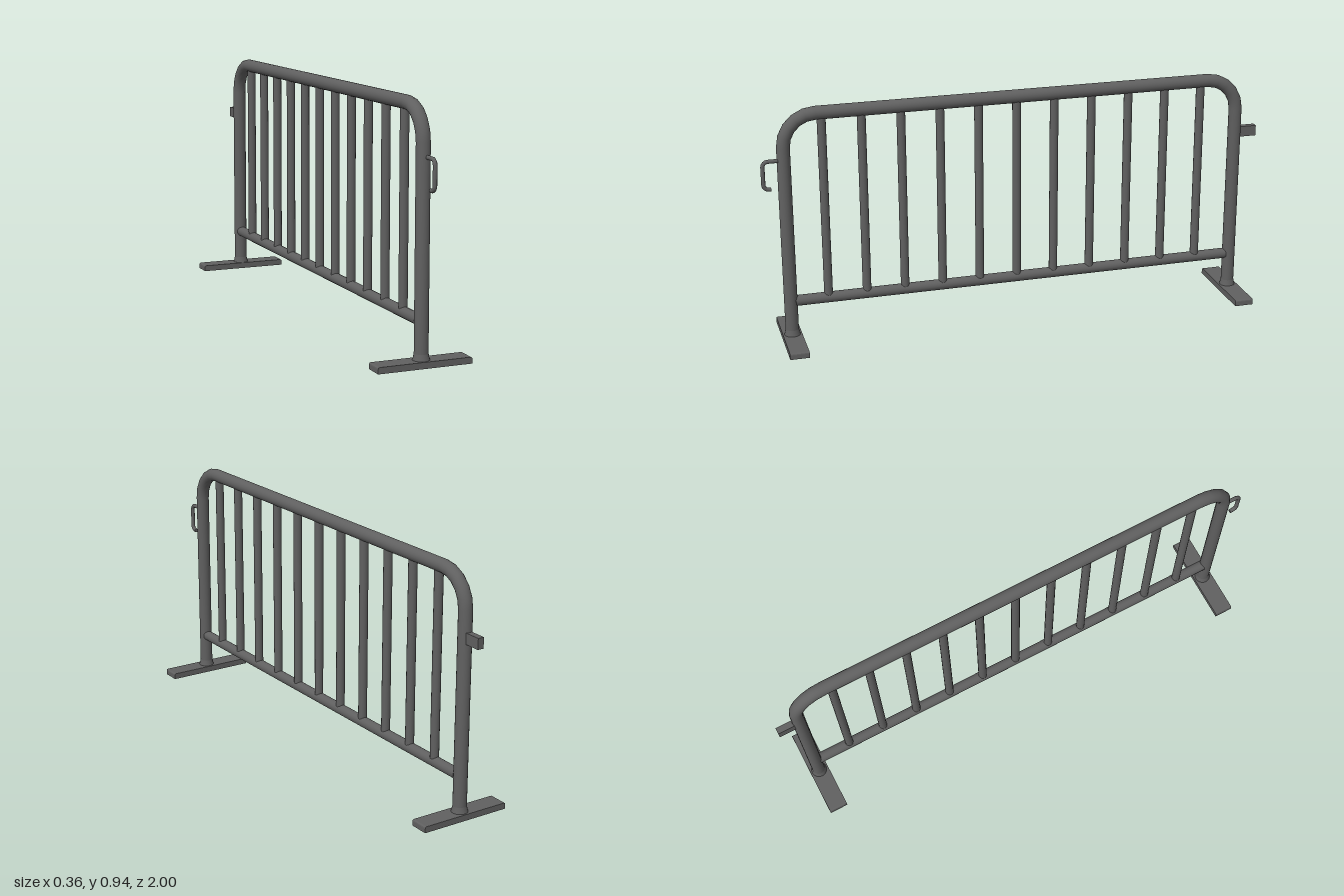
import * as THREE from 'three';

// Curve through given points, one tube ring per point
class PathCurve extends THREE.Curve {
  constructor(points) { super(); this.points = points; }
  getPoint(t) { return this.points[Math.round(t * (this.points.length - 1))].clone(); }
  getPointAt(t) { return this.getPoint(t); }
  getTangentAt(t) {
    const p = this.points, n = p.length - 1, i = Math.round(t * n);
    const dir = (a, b) => p[b].clone().sub(p[a]).normalize();
    if (i === 0) return dir(0, 1);
    if (i === n) return dir(n - 1, n);
    return dir(i - 1, i).add(dir(i, i + 1)).normalize();
  }
}

// Quarter bend in the YZ plane
function bend(x, cy, cz, r, from, to, steps) {
  const pts = [];
  for (let i = 0; i <= steps; i++) {
    const a = from + (to - from) * i / steps;
    pts.push(new THREE.Vector3(x, cy + r * Math.sin(a), cz + r * Math.cos(a)));
  }
  return pts;
}

export function createModel() {
  const model = new THREE.Group();
  model.name = 'crowdBarrier';
  const steel = new THREE.MeshStandardMaterial({ color: 0x606060 });
  steel.name = 'darkSteel';

  const add = (name, geometry, x = 0, y = 0, z = 0) => {
    const mesh = new THREE.Mesh(geometry, steel);
    mesh.name = name;
    mesh.position.set(x, y, z);
    model.add(mesh);
    return mesh;
  };
  const sweep = (points, r, sides) =>
    new THREE.TubeGeometry(new PathCurve(points), points.length - 1, r, sides, false);

  const postZ = 0.911, topY = 0.913, bendR = 0.125;
  const H = Math.PI / 2;

  // Bent outer frame: two posts and the top rail in one tube
  add('frame', sweep([
    new THREE.Vector3(0, 0.01, postZ),
    ...bend(0, topY - bendR, postZ - bendR, bendR, 0, H, 5),
    ...bend(0, topY - bendR, bendR - postZ, bendR, H, Math.PI, 5),
    new THREE.Vector3(0, 0.01, -postZ),
  ], 0.026, 20));

  // Bottom rail
  const rail = new THREE.CylinderGeometry(0.021, 0.021, 1.786, 16);
  rail.rotateX(H);
  add('bottomRail', rail, 0, 0.163, 0);

  // Upright bars
  const bar = new THREE.CylinderGeometry(0.017, 0.017, 0.74, 14);
  for (let i = 0; i < 11; i++) add('bar' + (i + 1), bar, 0, 0.535, 0.763 - i * 0.152);

  // Foot plates with softened top ends, and flared weld collars
  const w = 0.182, h = 0.024, c = 0.007;
  const footShape = new THREE.Shape();
  footShape.moveTo(-w, 0);
  footShape.lineTo(w, 0);
  footShape.lineTo(w, h - c);
  footShape.quadraticCurveTo(w, h, w - c, h);
  footShape.lineTo(c - w, h);
  footShape.quadraticCurveTo(-w, h, -w, h - c);
  const foot = new THREE.ExtrudeGeometry(footShape, { depth: 0.075, bevelEnabled: false, curveSegments: 3 });
  foot.translate(0, 0, -0.0375);
  const collar = new THREE.LatheGeometry([
    new THREE.Vector2(0.032, 0.022),
    new THREE.Vector2(0.029, 0.032),
    new THREE.Vector2(0.0255, 0.05),
  ], 20);
  for (const [side, s] of [['front', 1], ['back', -1]]) {
    add(side + 'Foot', foot, 0, 0, s * postZ);
    add(side + 'Collar', collar, 0, 0, s * postZ);
  }

  // Linking hook on the front post
  const hx = 0.005, hr = 0.008, hz = 0.992, r = 0.02;
  add('hook', sweep([
    new THREE.Vector3(hx, 0.739, 0.92),
    ...bend(hx, 0.739 - r, hz - r, r, H, 0, 4),
    ...bend(hx, 0.629 + r, hz - r, r, 0, -H, 4),
    new THREE.Vector3(hx, 0.629, 0.964),
  ], hr, 10));
  add('hookTip', new THREE.CircleGeometry(hr, 10), hx, 0.629, 0.964).rotation.y = Math.PI;

  // Linking bracket on the back post
  add('bracket', new THREE.BoxGeometry(0.025, 0.042, 0.08), 0, 0.69, -0.96);

  return model;
}
